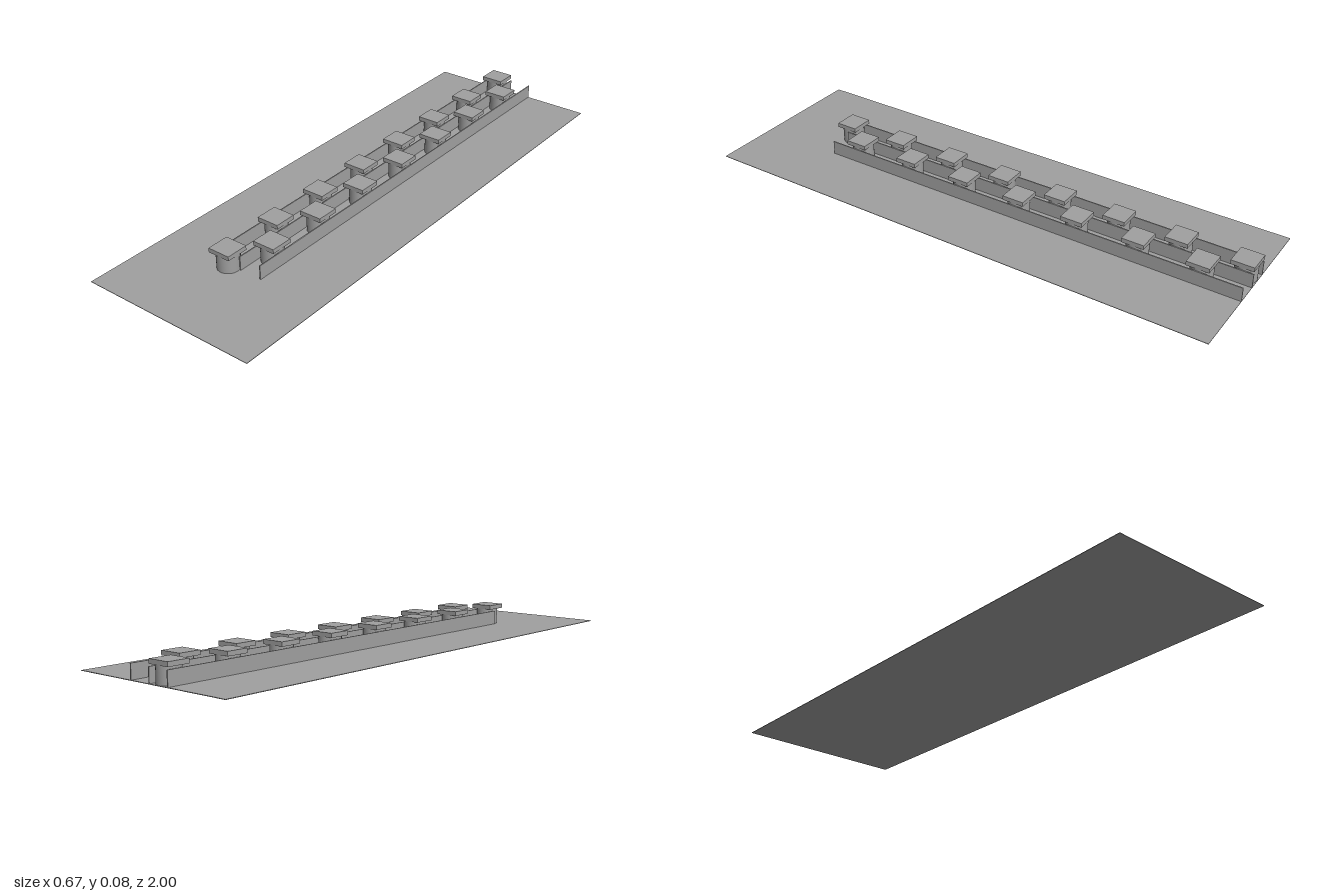
import * as THREE from 'three';

const material = new THREE.MeshStandardMaterial({ color: 0xa0a0a0 });

function add(parent, name, geometry, x, y, z) {
  const mesh = new THREE.Mesh(geometry, material);
  mesh.name = name;
  mesh.position.set(x, y, z);
  parent.add(mesh);
}

export function createModel() {
  const model = new THREE.Group();
  model.name = 'twoRowPostTrack';

  // Thin ground plate
  const base = 0.002;
  add(model, 'groundPlate', new THREE.BoxGeometry(0.666, base, 2), 0, base / 2, 0);

  // Three long walls that bound the two rows
  const wallTop = 0.054, wallEnd = 0.667;
  const wallGeometry = new THREE.BoxGeometry(0.004, wallTop - base, 1 + wallEnd);
  const walls = [['rightWall', -0.0855], ['middleWall', -0.001], ['leftWall', 0.0845]];
  for (const [name, x] of walls) {
    add(model, name, wallGeometry, x, (wallTop + base) / 2, (wallEnd - 1) / 2);
  }

  // Round posts with square caps, alternating between the rows
  const postTop = 0.062, capHeight = 0.016;
  const postGeometry = new THREE.CylinderGeometry(0.04, 0.04, postTop - base, 32);
  const capGeometry = new THREE.BoxGeometry(0.086, capHeight, 0.083);
  for (let i = 0; i < 15; i++) {
    const onRight = i % 2 === 0;
    const post = new THREE.Group();
    post.name = onRight ? 'rightPost' : 'leftPost';
    post.position.set(onRight ? -0.0435 : 0.042, 0, 0.6745 - i * 0.1166);
    add(post, 'postShaft', postGeometry, 0, (postTop + base) / 2, 0);
    add(post, 'postCap', capGeometry, -0.0015, postTop + capHeight / 2, 0);
    model.add(post);
  }
  return model;
}
